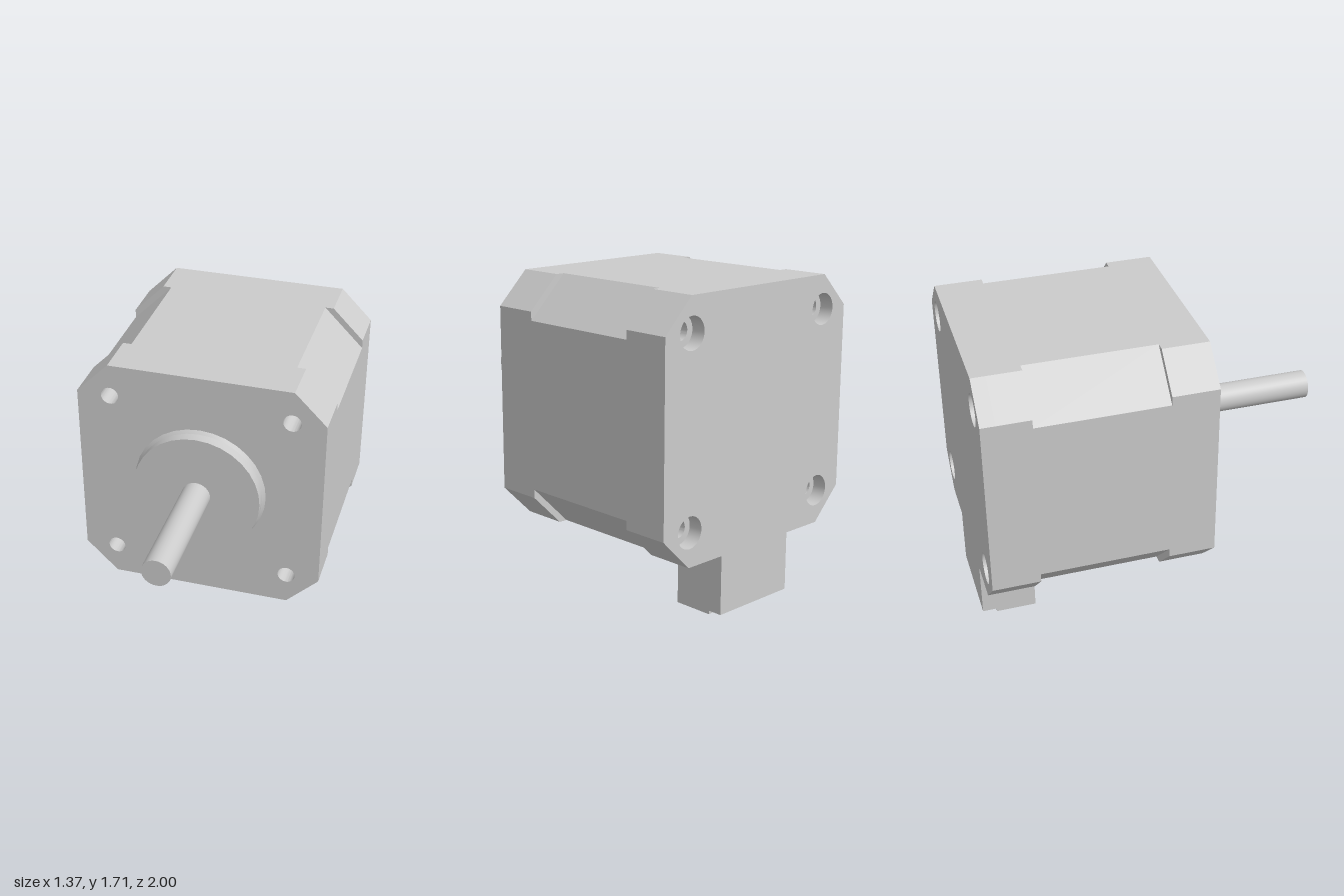
import * as THREE from 'three';
import { toCreasedNormals } from 'three/addons/utils/BufferGeometryUtils.js';

const HALF = 0.684, CY = 1.027, HOLE = 0.5;

export function createModel() {
  const group = new THREE.Group();
  const mat = new THREE.MeshStandardMaterial({ color: 0xcccccc });

  const add = (name, geo, x = 0, y = 0, z = 0, parent = group) => {
    const mesh = new THREE.Mesh(geo, mat);
    mesh.name = name;
    mesh.position.set(x, y, z);
    parent.add(mesh);
    return mesh;
  };

  // Square plate with clipped corners and four bolt holes, from z0 to z1
  const section = (name, z0, z1, cut, holeR) => {
    const a = HALF, b = HALF - cut;
    const shape = new THREE.Shape(
      [[b, -a], [a, -b], [a, b], [b, a], [-b, a], [-a, b], [-a, -b], [-b, -a]]
        .map(([x, y]) => new THREE.Vector2(x, y)));
    for (const sx of [-1, 1]) for (const sy of [-1, 1]) {
      const hole = new THREE.Path();
      hole.absarc(sx * HOLE, sy * HOLE, holeR, 0, Math.PI * 2, true);
      shape.holes.push(hole);
    }
    const geo = new THREE.ExtrudeGeometry(shape, { depth: z1 - z0, bevelEnabled: false, curveSegments: 24 });
    add(name, toCreasedNormals(geo, 0.6), 0, CY, z0);
  };

  // Motor housing: end caps and a laminated core with deeper corner cuts
  section('frontCap', -0.03, 0.226, 0.178, 0.049);
  section('core', -0.74, -0.03, 0.226, 0.049);
  section('backCap', -0.92, -0.74, 0.178, 0.049);
  section('backCapCounterbores', -1, -0.92, 0.178, 0.085);

  // Turned parts along z: profile points are [radius, z]
  const turned = (name, points, segments) => {
    const geo = new THREE.LatheGeometry(points.map(([r, z]) => new THREE.Vector2(r, z)), segments);
    geo.rotateX(Math.PI / 2);
    add(name, toCreasedNormals(geo, 0.5), 0, CY, 0);
  };
  turned('pilotBoss', [[0, 0.2], [0.37, 0.2], [0.37, 0.226], [0.354, 0.242], [0.354, 0.3], [0, 0.3]], 32);
  turned('shaft', [[0, 0.28], [0.079, 0.28], [0.079, 1], [0, 1]], 32);

  // Cable socket below the rear: open underneath, with a gap in its front wall
  const socket = new THREE.Group();
  socket.name = 'socket';
  group.add(socket);
  const TOP = 0.345;
  const block = (name, x0, x1, y0, z0, z1) => add(name,
    new THREE.BoxGeometry(x1 - x0, TOP - y0, z1 - z0),
    (x0 + x1) / 2, (y0 + TOP) / 2, (z0 + z1) / 2, socket);
  block('socketBackWall', -0.26, 0.26, 0.02, -1, -0.97);
  for (const s of [-1, 1]) {
    const sided = (name, inner, outer, y0, z0, z1) =>
      block(name, Math.min(s * inner, s * outer), Math.max(s * inner, s * outer), y0, z0, z1);
    sided('socketSideWallRear', 0.23, 0.26, 0.02, -0.97, -0.92);
    sided('socketSideWall', 0.23, 0.26, 0, -0.92, -0.725);
    sided('socketFrontWall', 0.145, 0.26, 0, -0.725, -0.695);
    // Contact pins
    for (const x of [0.055, 0.135, 0.205]) sided('pin', x - 0.007, x + 0.007, 0.05, -0.86, -0.846);
  }
  return group;
}
